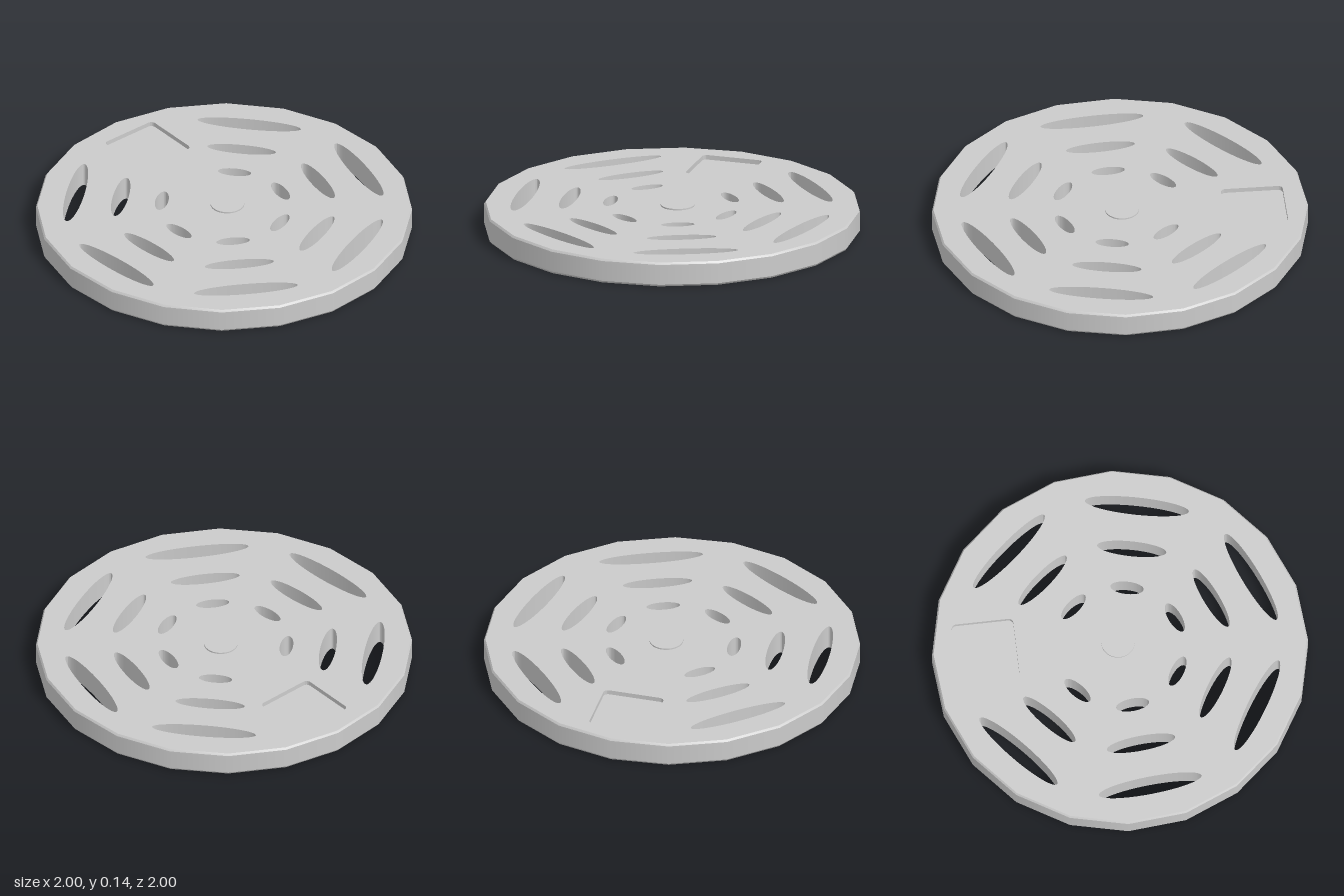
import * as THREE from 'three';
import { toCreasedNormals } from 'three/addons/utils/BufferGeometryUtils.js';

const H = 0.133;       // plate thickness
const FLOOR = 0.108;   // height of the recess floor
const PAD = { x: -0.677, y: 0.23, half: 0.165, radius: 0.025, turn: -0.245 };

const polar = (r, a) => new THREE.Vector2(r * Math.cos(a), r * Math.sin(a));

// Outline of the square recess with rounded corners
function padPoints() {
  const pts = [], c = new THREE.Vector2();
  for (let i = 0; i < 4; i++) {
    const corner = polar((PAD.half - PAD.radius) * Math.SQRT2, Math.PI / 4 + i * Math.PI / 2);
    for (let j = 0; j <= 4; j++) {
      const p = polar(PAD.radius, (i + j / 4) * Math.PI / 2).add(corner);
      pts.push(p.rotateAround(c, PAD.turn).add(new THREE.Vector2(PAD.x, PAD.y)));
    }
  }
  return pts;
}

// Extrude a flat shape upwards from y = 0
function slab(shape, depth, steps) {
  const g = new THREE.ExtrudeGeometry(shape, { depth, steps, bevelEnabled: false, curveSegments: 24 });
  return g.rotateX(-Math.PI / 2);
}

export function createModel() {
  const group = new THREE.Group();
  const material = new THREE.MeshStandardMaterial({ color: 0xcccccc });
  const add = (name, geometry) => {
    const mesh = new THREE.Mesh(geometry, material);
    mesh.name = name;
    group.add(mesh);
    return mesh;
  };

  // Twenty-sided plate with three rings of slots
  const outline = [];
  for (let i = 0; i < 20; i++) outline.push(polar(1, i * Math.PI / 10));
  const shape = new THREE.Shape(outline);
  const rings = [[0.8, 0.278, 0.049], [0.557, 0.185, 0.042], [0.335, 0.089, 0.035]];
  for (const deg of [117, 63, 9, -45, -99, -153]) {
    const a = THREE.MathUtils.degToRad(deg);
    for (const [r, long, short] of rings) {
      const c = polar(r, a);
      shape.holes.push(new THREE.Path().absellipse(c.x, c.y, short, long, 0, Math.PI * 2, false, a));
    }
  }
  shape.holes.push(new THREE.Path(padPoints()));
  const plate = slab(shape, H, 12);

  // Small chamfer: pull in the top and bottom rows of the rim
  const pos = plate.attributes.position;
  for (let i = 0; i < pos.count; i++) {
    const x = pos.getX(i), y = pos.getY(i), z = pos.getZ(i);
    if (Math.hypot(x, z) > 0.98 && (y < 0.001 || y > H - 0.001)) {
      pos.setX(i, x * 0.992);
      pos.setZ(i, z * 0.992);
    }
  }
  add('slottedPlate', toCreasedNormals(plate, 0.35));

  // Floor of the square recess
  add('recessFloor', slab(new THREE.Shape(padPoints()), FLOOR, 1));

  // Low central button
  const button = add('centreButton', new THREE.CylinderGeometry(0.09, 0.09, 0.03, 40));
  button.position.set(0, 0.126, -0.03);

  return group;
}
